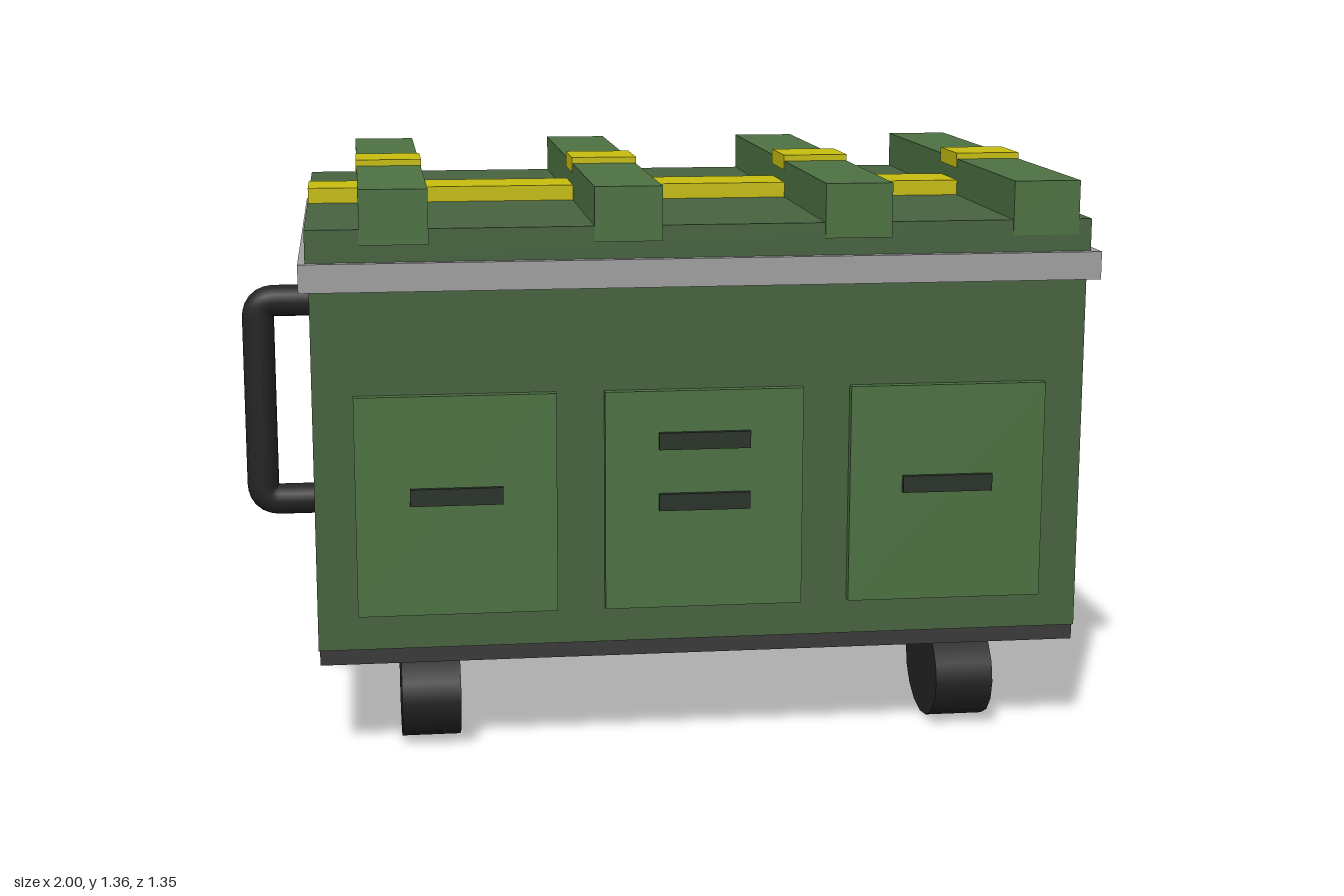
import * as THREE from 'three';

const mat = (color) => new THREE.MeshStandardMaterial({ color });

export function createModel() {
  const model = new THREE.Group();
  const green = mat(0x476340), lightGreen = mat(0x4d7242), yellow = mat(0xc8be10);
  const steel = mat(0xa0a0a0), dark = mat(0x3a3a3a), rubber = mat(0x242424), pull = mat(0x2a332a);

  const add = (name, geometry, material) => {
    const mesh = new THREE.Mesh(geometry, material);
    mesh.name = name;
    model.add(mesh);
    return mesh;
  };
  // Box given by its extents on each axis
  const box = (name, material, [x0, x1], [y0, y1], [z0, z1]) => {
    const mesh = add(name, new THREE.BoxGeometry(x1 - x0, y1 - y0, z1 - z0), material);
    mesh.position.set((x0 + x1) / 2, (y0 + y1) / 2, (z0 + z1) / 2);
    return mesh;
  };

  // Main chest
  box('basePlate', dark, [-0.83, 0.97], [0.228, 0.268], [-0.628, 0.635]);
  box('body', green, [-0.833, 0.973], [0.265, 1.13], [-0.633, 0.641]);
  box('rimTrim', steel, [-0.856, 0.998], [1.11, 1.175], [-0.665, 0.673]);
  box('lid', green, [-0.84, 0.977], [1.17, 1.25], [-0.643, 0.654]);

  // Strap along the lid, stepping over each rib
  const strapZ = [-0.043, 0.124];
  box('strap', yellow, [-0.838, 0.975], [1.245, 1.287], strapZ);
  for (const x of [-0.64, -0.108, 0.425, 0.868]) {
    box('lidRib', lightGreen, [x - 0.078, x + 0.078], [1.214, 1.34], [-0.645, 0.657]);
    box('strapStep', yellow, [x - 0.08, x + 0.08], [1.318, 1.355], strapZ);
  }

  // Drawer fronts with their pulls
  const drawers = [[-0.508, [0.632]], [0.068, [0.75, 0.605]], [0.645, [0.632]]];
  for (const [x, pulls] of drawers) {
    box('drawerFront', lightGreen, [x - 0.232, x + 0.232], [0.35, 0.867], [0.62, 0.664]);
    for (const y of pulls)
      box('drawerPull', pull, [x - 0.107, x + 0.107], [y - 0.02, y + 0.02], [0.65, 0.676]);
  }

  // Rear hinge barrels
  for (const x of [-0.463, 0.602]) {
    const hinge = add('hinge', new THREE.CylinderGeometry(0.045, 0.045, 0.23, 16), dark);
    hinge.rotation.z = Math.PI / 2;
    hinge.position.set(x, 1.162, -0.631);
  }

  // Oval wheels
  for (const x of [-0.572, 0.714]) {
    for (const z of [-0.451, 0.459]) {
      const geometry = new THREE.CylinderGeometry(1, 1, 0.139, 16)
        .rotateZ(Math.PI / 2).scale(1, 0.12, 0.16);
      add('wheel', geometry, rubber).position.set(x, 0.12, z);
    }
  }

  // Bent side handle
  const v = (x, y) => new THREE.Vector3(x, y, 0.286);
  const path = new THREE.CurvePath();
  const top = 1.036, bottom = 0.547, outer = -0.962, bend = 0.042;
  path.add(new THREE.LineCurve3(v(-0.8, top), v(outer + bend, top)));
  path.add(new THREE.QuadraticBezierCurve3(v(outer + bend, top), v(outer, top), v(outer, top - bend)));
  path.add(new THREE.LineCurve3(v(outer, top - bend), v(outer, bottom + bend)));
  path.add(new THREE.QuadraticBezierCurve3(v(outer, bottom + bend), v(outer, bottom), v(outer + bend, bottom)));
  path.add(new THREE.LineCurve3(v(outer + bend, bottom), v(-0.8, bottom)));
  add('sideHandle', new THREE.TubeGeometry(path, 80, 0.038, 12), rubber);

  return model;
}
